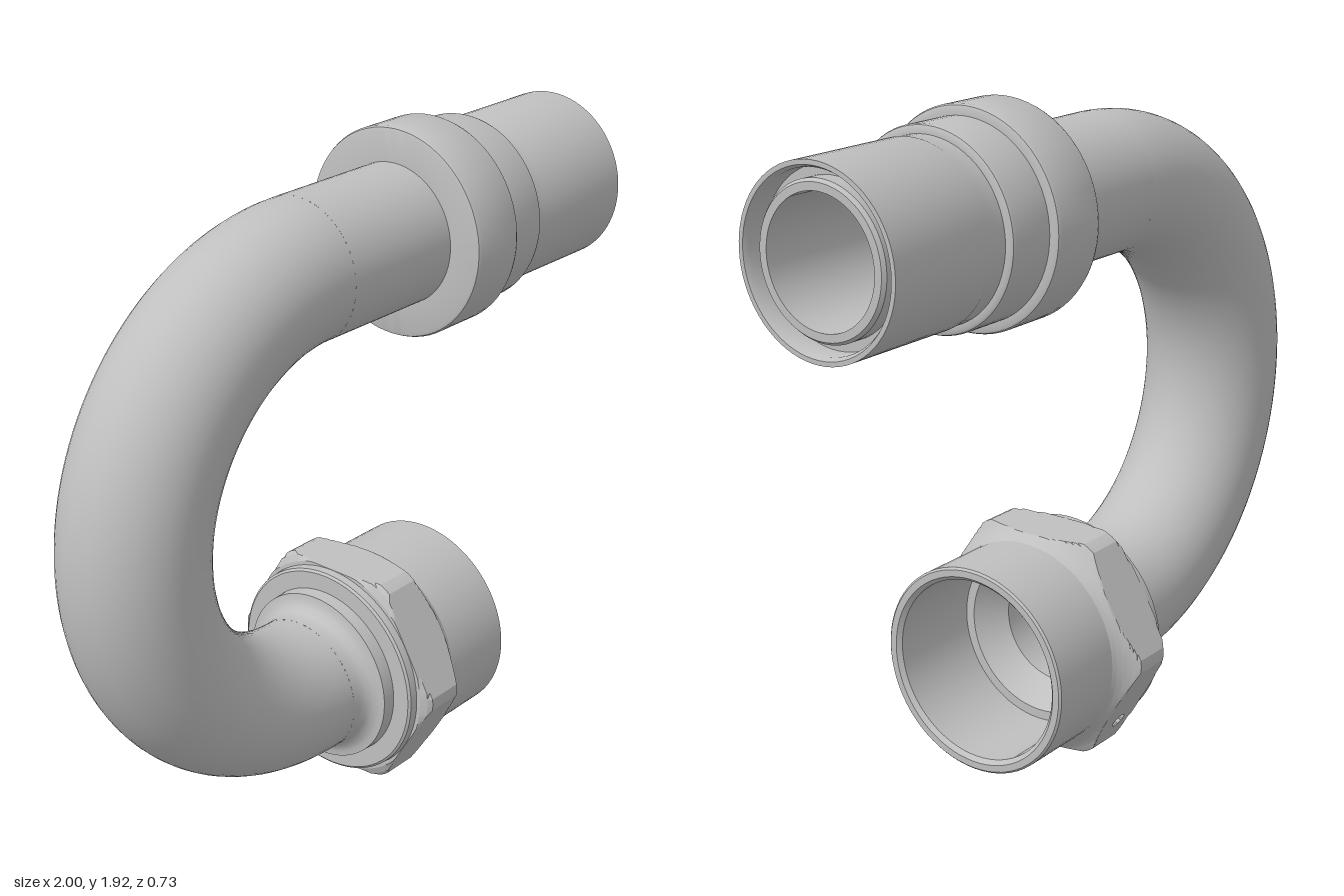
import * as THREE from 'three';
import { toCreasedNormals } from 'three/addons/utils/BufferGeometryUtils.js';

const TOP = 1.615, LOW = 0.325;        // heights of the two pipe axes
const BEND_X = -0.15;                  // where the straight pipes meet the bend
const PIPE = 0.205, BORE = 0.175;

const metal = new THREE.MeshStandardMaterial({ color: 0xbfbfbf, side: THREE.DoubleSide });
metal.name = 'grey metal';

function addMesh(group, name, geometry, y) {
  const mesh = new THREE.Mesh(geometry, metal);
  mesh.name = name;
  mesh.position.y = y;
  group.add(mesh);
}

// Turned part about the x axis from [x, radius] pairs
function turned(profile) {
  const g = new THREE.LatheGeometry(profile.map(([x, r]) => new THREE.Vector2(r, x)), 72);
  return toCreasedNormals(g.rotateZ(-Math.PI / 2), 0.5);
}

// Half-circle bend joining the two axes
function bend(radius) {
  const g = new THREE.TorusGeometry((TOP - LOW) / 2, radius, 48, 72, Math.PI);
  return g.rotateZ(Math.PI / 2).translate(BEND_X, 0, 0);
}

// Chamfered hexagon: a hexagonal prism limited by a turned profile, with a wire hole
function hexNut() {
  const limit = [[-0.012, 0.28], [-0.01, 0.335], [0, 0.355], [0.012, 0.366], [0.125, 0.366],
    [0.14, 0.342], [0.155, 0.324], [0.17, 0.312], [0.185, 0.304], [0.187, 0.28]];
  const limitAt = x => {
    const i = Math.max(1, limit.findIndex(p => p[0] >= x - 1e-9));
    const [x0, r0] = limit[i - 1], [x1, r1] = limit[i];
    return r0 + (r1 - r0) * (x - x0) / (x1 - x0);
  };
  // Stations and angles are closer together around the hole
  const xs = limit.map(p => p[0]);
  for (let x = 0.03; x < 0.091; x += 0.003) xs.push(x);
  for (let x = 0.13; x < 0.185; x += 0.005) xs.push(x + 0.001);
  xs.sort((a, b) => a - b);
  const angles = [];
  for (let a = 0; a <= 360; a += (a >= 219 && a < 234) ? 0.5 : 3) angles.push(a);

  const hole = { x: 0.06, y: -0.2275, z: -0.244, radius: 0.022, depth: 0.04 };
  const pos = [], index = [], n = angles.length;
  xs.forEach((x, i) => angles.forEach((deg, j) => {
    const t = THREE.MathUtils.degToRad(deg);
    const off = THREE.MathUtils.degToRad((deg + 30) % 60 - 30);
    const r = Math.min(0.325 / Math.cos(off), limitAt(x));
    let y = r * Math.cos(t), z = r * Math.sin(t);
    if (Math.hypot(x - hole.x, y - hole.y, z - hole.z) < hole.radius) {
      y += 0.5 * hole.depth;
      z += 0.866 * hole.depth;
    }
    pos.push(x, y, z);
    if (i && j) {
      const d = i * n + j, c = d - n, b = d - 1, a = c - 1;
      index.push(a, c, b, b, c, d);
    }
  }));
  const g = new THREE.BufferGeometry();
  g.setAttribute('position', new THREE.Float32BufferAttribute(pos, 3));
  g.setIndex(index);
  return toCreasedNormals(g, 0.3);
}

export function createModel() {
  const group = new THREE.Group();
  group.name = 'pipeBend';

  // Bend, outer skin and bore
  const mid = (TOP + LOW) / 2;
  addMesh(group, 'bendOuter', bend(PIPE), mid);
  addMesh(group, 'bendBore', bend(BORE), mid);

  // Upper straight pipe running through the sleeve
  addMesh(group, 'upperPipe', turned([
    [BEND_X, PIPE], [0.975, PIPE], [0.985, 0.197], [0.985, BORE], [BEND_X, BORE]
  ]), TOP);

  // Stepped sleeve with an open annular end
  addMesh(group, 'upperSleeve', turned([
    [0.25, 0.2], [0.25, 0.293], [0.253, 0.301], [0.262, 0.305],
    [0.418, 0.305], [0.427, 0.301], [0.43, 0.293], [0.43, 0.275],
    [0.568, 0.275], [0.576, 0.272], [0.58, 0.264], [0.58, 0.25],
    [0.63, 0.25], [0.64, 0.253], [1, 0.253], [1, 0.24], [0.985, 0.232],
    [0.93, 0.232], [0.93, 0.2]
  ]), TOP);

  // Lower pipe end, collar, flange and socket with a conical seat
  addMesh(group, 'lowerFitting', turned([
    [BEND_X, PIPE], [-0.125, 0.205], [-0.105, 0.211], [-0.09, 0.224], [-0.082, 0.242],
    [-0.08, 0.26], [-0.04, 0.262], [-0.04, 0.315], [-0.034, 0.322], [-0.01, 0.324],
    [-0.01, 0.285], [0.18, 0.285], [0.18, 0.306], [0.422, 0.306], [0.428, 0.3],
    [0.428, 0.28], [0.415, 0.268], [0.12, 0.268], [0.12, 0.24],
    [0.04, 0.172], [BEND_X, BORE]
  ]), LOW);
  addMesh(group, 'hexNut', hexNut(), LOW);

  return group;
}
